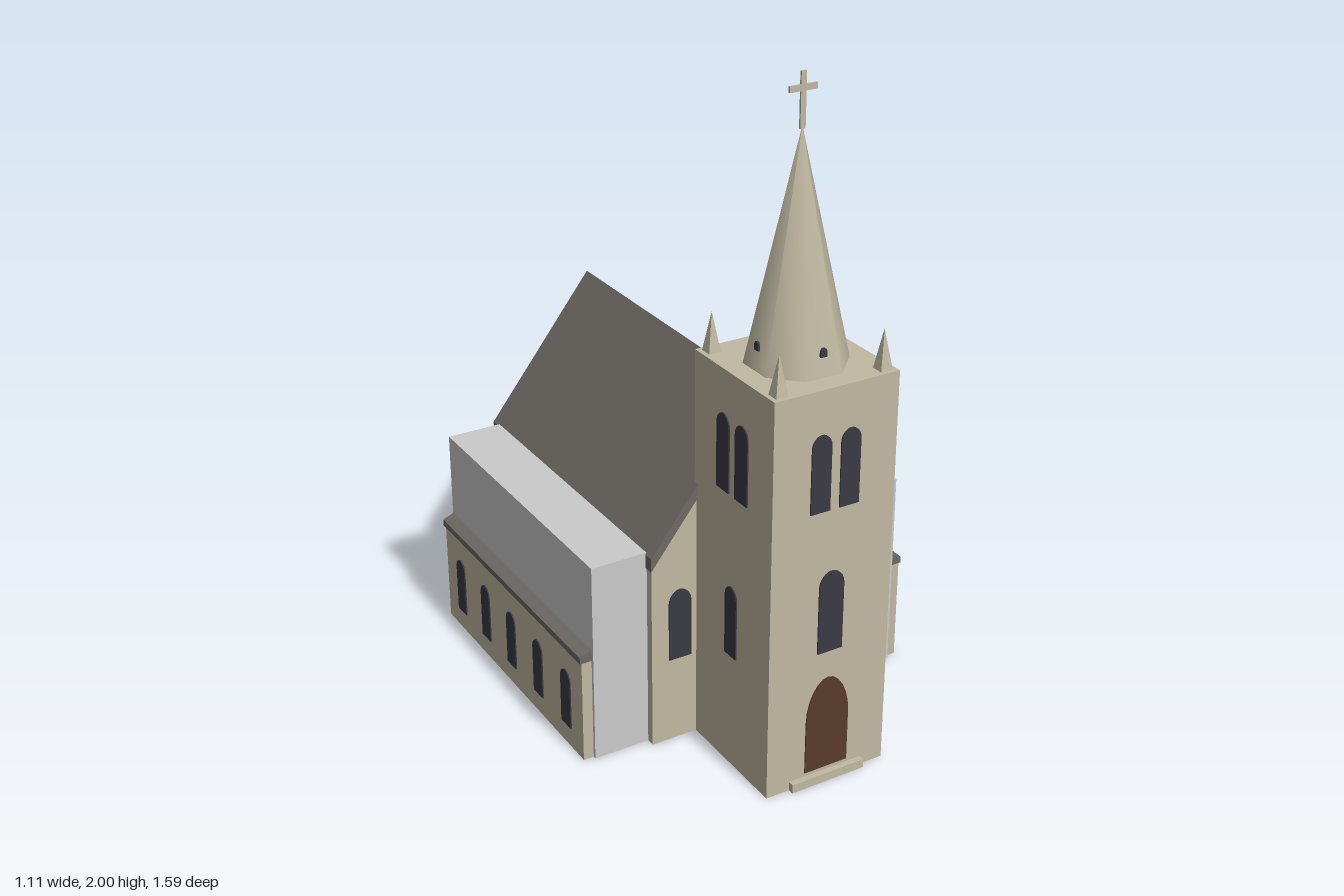
import * as THREE from 'three';

const mat = (name, color, side = THREE.FrontSide) => {
  const m = new THREE.MeshStandardMaterial({ color, side });
  m.name = name;
  return m;
};

export function createModel() {
  const model = new THREE.Group();
  model.name = 'church';
  const stone = mat('stone', 0xc0b9a1, THREE.DoubleSide);
  const slate = mat('slate', 0x6e6a66);
  const grey = mat('pale grey', 0xcacaca);
  const glass = mat('dark glass', 0x3a3a44);
  const wood = mat('brown wood', 0x5a3a2c);

  const add = (name, geo, material, x = 0, y = 0, z = 0, ry = 0) => {
    const mesh = new THREE.Mesh(geo, material);
    mesh.name = name;
    mesh.position.set(x, y, z);
    mesh.rotation.y = ry;
    model.add(mesh);
    return mesh;
  };

  // Box given by its limits
  const box = (x0, x1, y0, y1, z0, z1) =>
    new THREE.BoxGeometry(x1 - x0, y1 - y0, z1 - z0)
      .translate((x0 + x1) / 2, (y0 + y1) / 2, (z0 + z1) / 2);

  // Outline in x and y, drawn out from z0 to z1
  const prism = (points, z0, z1) => {
    const shape = new THREE.Shape(points.map(([x, y]) => new THREE.Vector2(x, y)));
    return new THREE.ExtrudeGeometry(shape, { depth: z1 - z0, bevelEnabled: false })
      .translate(0, 0, z0);
  };

  // Removes the floor so that walls form a hollow shell
  const openBottom = (source) => {
    const geo = source.index ? source.toNonIndexed() : source;
    const p = geo.attributes.position;
    const keep = [];
    for (let i = 0; i < p.count; i += 3) {
      if (Math.max(p.getY(i), p.getY(i + 1), p.getY(i + 2)) > 1e-4) keep.push(i, i + 1, i + 2);
    }
    geo.setIndex(keep);
    geo.clearGroups();
    return geo;
  };

  // Thin arched plate, facing +z before it is turned
  const arch = (w, h, pointed) => {
    const r = w / 2, spring = pointed ? h - w * 0.95 : h - r * 1.15;
    const s = new THREE.Shape();
    s.moveTo(-r, 0);
    s.lineTo(r, 0);
    s.lineTo(r, spring);
    s.bezierCurveTo(r, spring + (h - spring) * 0.55, r * 0.5, h, 0, h);
    s.bezierCurveTo(-r * 0.5, h, -r, spring + (h - spring) * 0.55, -r, spring);
    return new THREE.ExtrudeGeometry(s, { depth: 0.006, bevelEnabled: false, curveSegments: 6 })
      .translate(0, 0, -0.002);
  };
  const opening = (name, w, y0, y1, x, z, ry = 0) =>
    add(name, arch(w, y1 - y0), glass, x, y0, z, ry);

  // Gabled walls under a folded roof slab
  const house = (name, half, eaves, ridge, thick, z0, z1) => {
    const w = half - 0.004, inset = 0.006, low = thick * 0.7;
    add(name + 'Walls', openBottom(prism(
      [[-w, 0], [w, 0], [w, eaves - low], [0, ridge - low], [-w, eaves - low]],
      z0 + inset, z1 - inset)), stone);
    add(name + 'Roof', prism(
      [[-half, eaves - thick], [0, ridge - thick], [half, eaves - thick],
        [half, eaves], [0, ridge], [-half, eaves]], z0, z1), slate);
  };
  house('nave', 0.345, 0.62, 1.065, 0.042, -0.605, 0.402);
  house('apse', 0.222, 0.42, 0.705, 0.026, -0.795, -0.59);

  // Plain grey block between nave and aisles
  add('sideBlock', box(-0.515, 0.515, 0, 0.625, -0.57, 0.37), grey);

  // Low aisles on both sides
  for (const s of [1, -1]) {
    const ry = s * Math.PI / 2;
    add('aisleWall', box(0.512, 0.547, 0, 0.335, -0.558, 0.36), stone, 0, 0, s < 0 ? -0.198 : 0, s < 0 ? Math.PI : 0);
    const outline = [[0.512, 0.325], [0.553, 0.325], [0.553, 0.345], [0.512, 0.362]];
    add('aisleRoof', prism(s > 0 ? outline : outline.map(([x, y]) => [-x, y]).reverse(), -0.563, 0.362), slate);
    for (let i = 0; i < 5; i++) {
      opening('aisleWindow', 0.058, 0.065, 0.25, s * 0.547, 0.26 - i * 0.178, ry);
    }
    opening('apseSideWindow', 0.064, 0.095, 0.32, s * 0.218, -0.67, ry);
    opening('naveFrontWindow', 0.072, 0.27, 0.495, s * 0.25, 0.396);
    opening('towerSideWindow', 0.058, 0.36, 0.58, s * 0.195, 0.582, ry);
  }
  for (const x of [-0.134, 0, 0.134]) {
    opening('apseBackWindow', 0.064, 0.095, 0.32, x, -0.789, Math.PI);
  }
  opening('gableWindow', 0.08, 0.73, 0.87, 0, -0.599, Math.PI);

  // Tower shell
  const tz = 0.58, th = 0.195;
  add('tower', openBottom(box(-th, th, 0, 1.215, tz - th, tz + th)), stone);
  opening('towerFrontWindow', 0.08, 0.42, 0.672, 0, tz + th);
  add('door', arch(0.14, 0.295, true), wood, 0, 0.04, tz + th);
  add('doorStep', box(-0.12, 0.12, 0, 0.027, tz + th - 0.01, 0.793), stone);

  // Paired belfry windows and a small spire opening on each side
  for (let i = 0; i < 4; i++) {
    const a = i * Math.PI / 2, sin = Math.sin(a), cos = Math.cos(a);
    for (const off of [-0.046, 0.046]) {
      opening('belfryWindow', 0.062, 0.86, 1.088,
        th * sin + off * cos, tz + th * cos - off * sin, a);
    }
    opening('spireOpening', 0.02, 1.27, 1.296, 0.123 * sin, tz + 0.123 * cos, a);
  }

  // Eight-sided spire with smooth shading
  const spire = new THREE.ConeGeometry(0.144, 0.645, 8, 1, true).rotateY(Math.PI / 8);
  add('spire', spire, stone, 0, 1.215 + 0.3225, tz);

  // Corner pinnacles
  for (const x of [-0.163, 0.163]) {
    for (const z of [-0.163, 0.163]) {
      const cone = new THREE.ConeGeometry(0.026, 0.115, 4, 1, true).rotateY(Math.PI / 4).toNonIndexed();
      cone.computeVertexNormals();
      add('pinnacle', cone, stone, x, 1.2725, tz + z);
    }
  }

  // Flat cross on the tip
  add('crossUpright', box(-0.008, 0.008, 1.85, 2, tz - 0.003, tz + 0.003), stone);
  for (const s of [-1, 1]) {
    add('crossArm', box(0.008, 0.042, 1.948, 1.965, -0.003, 0.003), stone, 0, 0, tz, s < 0 ? Math.PI : 0);
  }
  return model;
}
